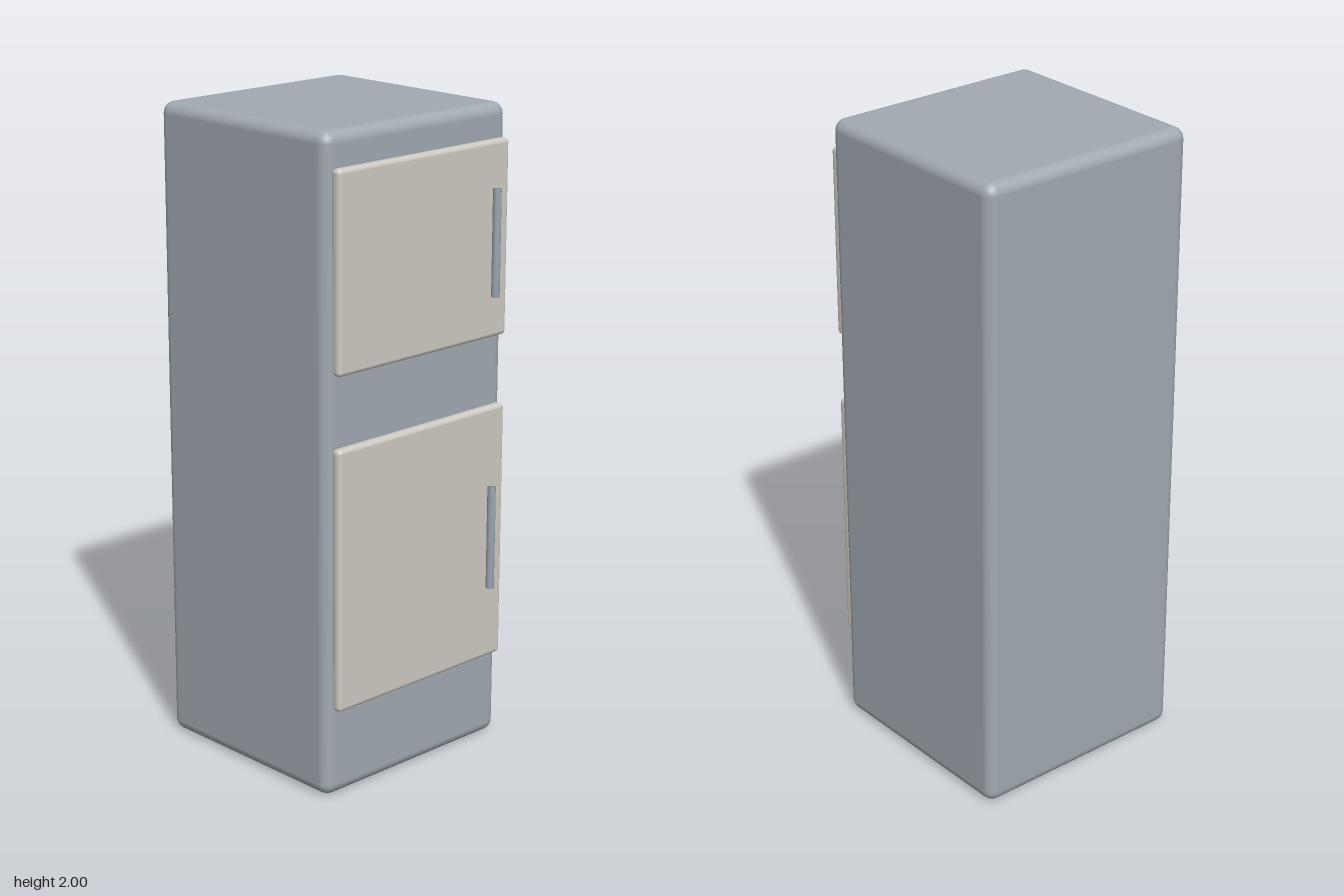
import * as THREE from 'three';
import { RoundedBoxGeometry } from 'three/addons/geometries/RoundedBoxGeometry.js';
import { mergeVertices } from 'three/addons/utils/BufferGeometryUtils.js';

const material = (name, color) => {
  const m = new THREE.MeshStandardMaterial({ color });
  m.name = name;
  return m;
};

export function createModel() {
  const model = new THREE.Group();
  model.name = 'refrigerator';
  const bodyGrey = material('bodyGrey', 0xa1a9b1);
  const doorCream = material('doorCream', 0xcdc9c1);
  const handleSteel = material('handleSteel', 0x9aa4af);

  const add = (name, geometry, mat, x, y, z, parent = model) => {
    const mesh = new THREE.Mesh(geometry, mat);
    mesh.name = name;
    mesh.position.set(x, y, z);
    parent.add(mesh);
  };

  // Cabinet, set back so that the handles complete the depth
  add('cabinet', new RoundedBoxGeometry(0.734, 2, 0.712, 3, 0.036), bodyGrey, 0, 1, -0.039);

  // Handle bar with normals blended around its ends
  const bar = new THREE.CylinderGeometry(0.0127, 0.0127, 0.324, 16);
  bar.deleteAttribute('normal');
  bar.deleteAttribute('uv');
  const handle = mergeVertices(bar);
  handle.computeVertexNormals();

  // Freezer door above, fridge door below
  const doors = [
    { name: 'upperDoor', bottom: 1.305, top: 1.9, handleY: 1.603 },
    { name: 'lowerDoor', bottom: 0.28, top: 1.09, handleY: 0.687 },
  ];
  for (const { name, bottom, top, handleY } of doors) {
    const door = new THREE.Group();
    door.name = name;
    const panel = new RoundedBoxGeometry(0.69, top - bottom, 0.034, 3, 0.014);
    add(name + 'Panel', panel, doorCream, 0, (top + bottom) / 2, 0.332, door);
    add(name + 'Handle', handle, handleSteel, 0.258, handleY, 0.382, door);
    model.add(door);
  }
  return model;
}
